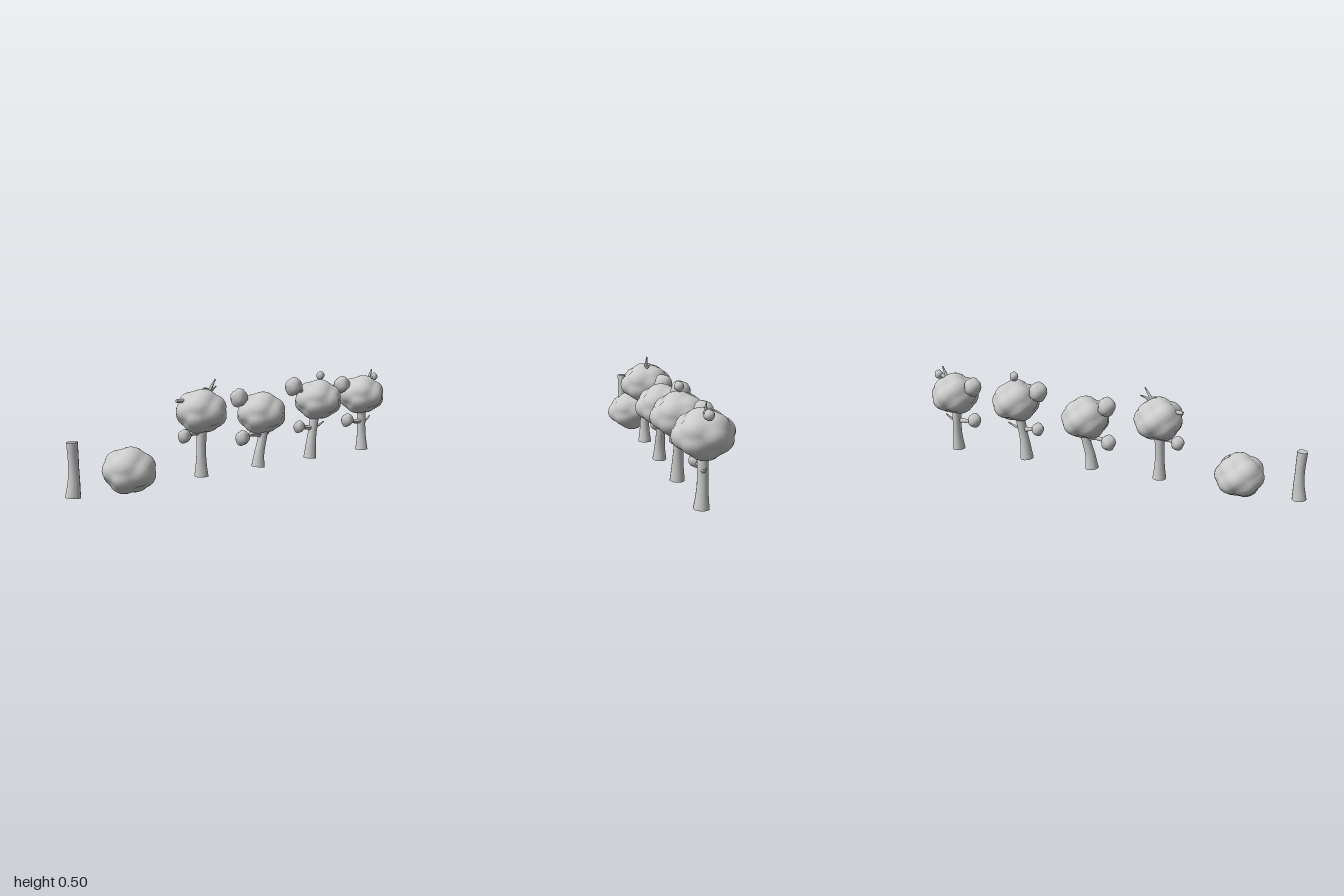
import * as THREE from 'three';
import { mergeVertices } from 'three/addons/utils/BufferGeometryUtils.js';

const material = new THREE.MeshStandardMaterial({ color: 0xcccccc });
const V = (x, y, z = 0) => new THREE.Vector3(x, y, z);

// Swellings of a large leaf crown: mirrored pairs plus front, back and top
const crownLumps = [V(0, -0.1, 1), V(0, 0.2, -1), V(0.1, 1, 0.15)];
for (const s of [1, -1]) {
  crownLumps.push(
    V(0.8 * s, -0.45, 0.6), V(0.7 * s, 0.45, 0.55), V(s, 0.05, -0.28),
    V(0.6 * s, -0.4, -0.8), V(0.6 * s, 0.7, -0.45), V(0.5 * s, -0.9, 0),
  );
}
crownLumps.forEach((l) => l.normalize());

// Corners of a small leaf clump, spread evenly along a spiral
const clumpLumps = Array.from({ length: 8 }, (_, i) => {
  return new THREE.Vector3().setFromSphericalCoords(1, Math.acos(1 - (2 * i + 1) / 8), i * 2.4);
});

// Lumpy ball: each point drops with its distance from the nearest swelling
function lumpyBall(name, lumps, detail, center, size, depth) {
  let geo = new THREE.IcosahedronGeometry(1, detail);
  geo.deleteAttribute('normal');
  geo.deleteAttribute('uv');
  geo = mergeVertices(geo, 1e-4);
  const pos = geo.attributes.position;
  const v = V(0, 0);
  for (let i = 0; i < pos.count; i++) {
    v.fromBufferAttribute(pos, i).normalize();
    const d = Math.min(...lumps.map((l) => v.distanceTo(l)));
    v.multiplyScalar(1.03 - depth * d * d);
    pos.setXYZ(i, v.x, v.y, v.z);
  }
  geo.scale(size.x, size.y, size.z);
  geo.computeVertexNormals();
  const mesh = new THREE.Mesh(geo, material);
  mesh.name = name;
  mesh.position.copy(center);
  return mesh;
}

const crown = (name, center) => lumpyBall(name, crownLumps, 6, center, V(0.12, 0.108, 0.132), 0.42);
const clump = (center, r) => lumpyBall('leafClump', clumpLumps, 2, center, V(r, r * 1.08, r), 0.3);

// Round limb along a curve; radii are spread evenly along it
function limb(name, points, radii, sides) {
  const curve = new THREE.CatmullRomCurve3(points);
  const geo = new THREE.CylinderGeometry(1, 1, 1, sides, 10);
  const pos = geo.attributes.position;
  const q = new THREE.Quaternion();
  const v = V(0, 0);
  const last = radii.length - 1;
  for (let i = 0; i < pos.count; i++) {
    const t = THREE.MathUtils.clamp(pos.getY(i) + 0.5, 0, 1);
    const k = Math.min(Math.floor(t * last), last - 1);
    const r = THREE.MathUtils.lerp(radii[k], radii[k + 1], t * last - k);
    q.setFromUnitVectors(V(0, 1), curve.getTangent(t));
    v.set(pos.getX(i) * r, 0, pos.getZ(i) * r).applyQuaternion(q).add(curve.getPoint(t));
    pos.setXYZ(i, v.x, v.y, v.z);
  }
  geo.computeVertexNormals();
  const mesh = new THREE.Mesh(geo, material);
  mesh.name = name;
  return mesh;
}

const trunk = (name, points) => limb(name, points, [0.035, 0.029, 0.025, 0.023, 0.024, 0.025], 16);

// Twig that bows by the given height between its ends
function twig(from, to, bow = 0, r0 = 0.014, r1 = 0.003) {
  const middle = from.clone().lerp(to, 0.5);
  middle.y += bow;
  return limb('twig', [from, middle, to], [r0, r1], 8);
}

// Leaf clump carried on its own twig
const leafyTwig = (from, to, r, bow = 0) => [twig(from, to, bow, 0.014, 0.009), clump(to, r)];

// Trunk, crown and the given extras, placed around the foot of the trunk
function tree(x, trunkPoints, crownCenter, ...extras) {
  const group = new THREE.Group();
  group.name = 'tree';
  group.position.x = x;
  group.add(trunk('trunk', trunkPoints), crown('crown', crownCenter), ...extras.flat());
  return group;
}

export function createModel() {
  const model = new THREE.Group();
  model.name = 'treeSet';
  const foot = V(0, 0.022);

  // Bare trunk and loose bush
  const bareTrunk = trunk('bareTrunk', [foot, V(0.007, 0.1), V(0.007, 0.18), V(0.003, 0.268)]);
  bareTrunk.position.x = -0.965;
  model.add(bareTrunk, crown('bush', V(-0.675, 0.104, -0.003)));

  // Tree with bare twigs on its crown
  model.add(tree(-0.267, [foot, V(0, 0.13), V(0.005, 0.28)], V(0.007, 0.34, -0.006),
    leafyTwig(V(0, 0.238), V(-0.093, 0.228, -0.01), 0.034, 0.005),
    twig(V(-0.03, 0.385, -0.02), V(-0.121, 0.397, -0.032), 0.004, 0.012, 0.009),
    twig(V(0.027, 0.4), V(0.085, 0.493, 0.005), 0, 0.014),
    twig(V(0.055, 0.435), V(0.022, 0.452, -0.005), 0.004, 0.008),
    twig(V(0.057, 0.43), V(0.102, 0.455, -0.012), 0.003, 0.008)));

  // Short bent tree
  model.add(tree(0.097, [foot, V(0.008, 0.09), V(0.028, 0.165), V(0.043, 0.25)], V(0.028, 0.298, -0.008),
    leafyTwig(V(0.023, 0.185), V(-0.095, 0.18, -0.012), 0.039, 0.012),
    leafyTwig(V(-0.007, 0.32, -0.02), V(-0.095, 0.383, -0.04), 0.047),
    twig(V(0.033, 0.175), V(0.088, 0.21), -0.006, 0.009)));

  // Leaning tree with a clump on top
  model.add(tree(0.468, [foot, V(0.008, 0.11), V(0.02, 0.18), V(0.037, 0.28)], V(0.052, 0.337, 0.004),
    leafyTwig(V(0.017, 0.185), V(-0.073, 0.199, -0.01), 0.033),
    leafyTwig(V(0.012, 0.36, -0.01), V(-0.093, 0.415, -0.035), 0.049),
    leafyTwig(V(0.057, 0.4, 0.005), V(0.062, 0.468, 0.01), 0.023),
    twig(V(0.022, 0.19), V(0.102, 0.213), -0.006, 0.01)));

  // Upright tree with a clump and a bare twig on top
  model.add(tree(0.88, [foot, V(0, 0.13, -0.004), V(-0.007, 0.28, -0.004)], V(-0.005, 0.337, -0.006),
    leafyTwig(V(0, 0.188), V(-0.113, 0.2, -0.01), 0.037, -0.006),
    leafyTwig(V(-0.04, 0.35, -0.02), V(-0.132, 0.4, -0.04), 0.047),
    leafyTwig(V(0.035, 0.405), V(0.091, 0.434, -0.002), 0.023, 0.008),
    twig(V(0.03, 0.4), V(0.068, 0.48, 0.004), -0.005),
    twig(V(0, 0.185), V(0.065, 0.212), -0.008, 0.01)));

  return model;
}
